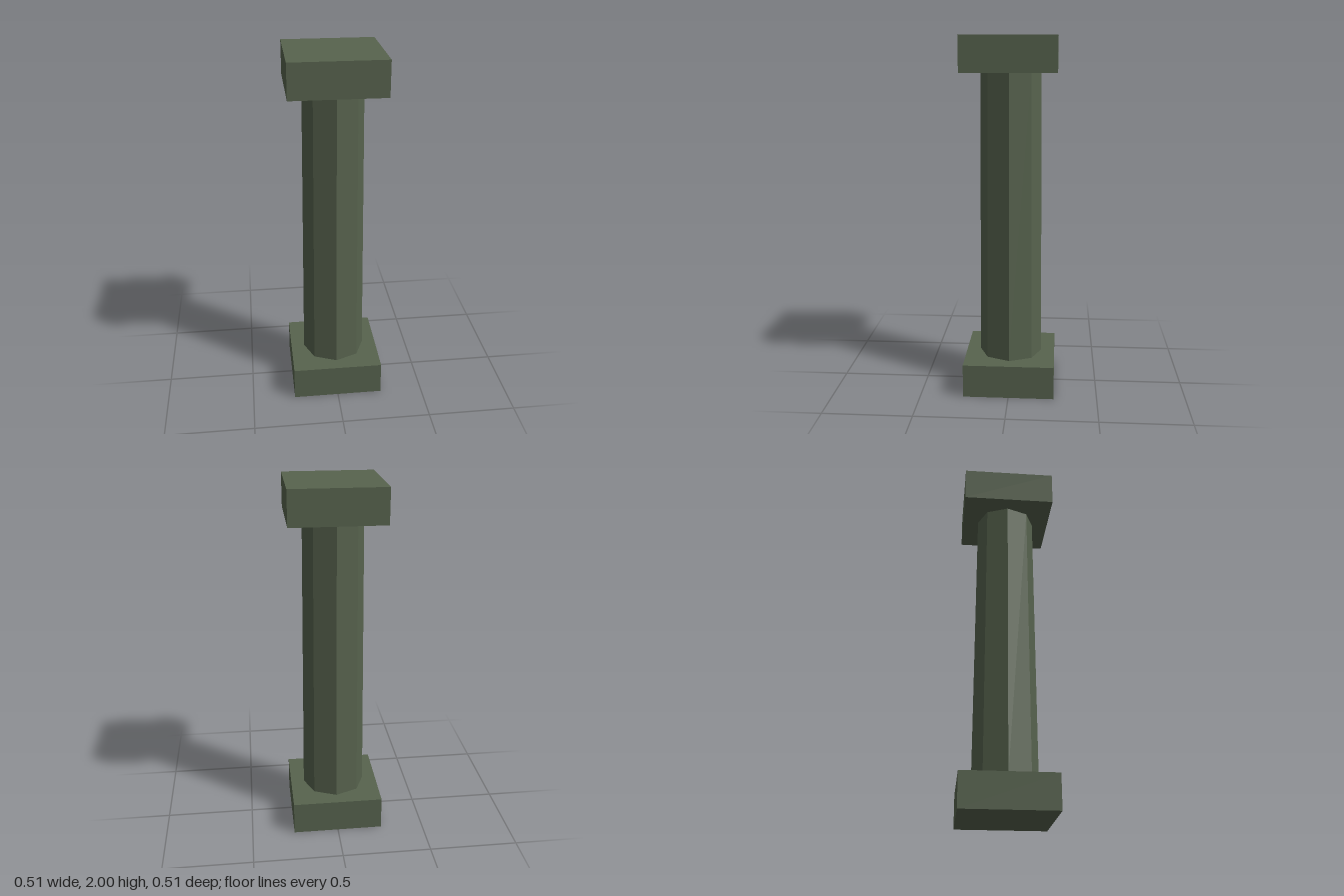
import * as THREE from 'three';

export function createModel() {
  const group = new THREE.Group();
  group.name = 'column';
  const stone = new THREE.MeshStandardMaterial({ color: 0x57634e, flatShading: true });
  stone.name = 'mossy stone';

  const slabSize = 0.512;
  const slabHeight = 0.19;
  const add = (name, geometry, y) => {
    const mesh = new THREE.Mesh(geometry, stone);
    mesh.name = name;
    mesh.position.y = y;
    group.add(mesh);
  };

  // Square slabs at both ends
  const slab = new THREE.BoxGeometry(slabSize, slabHeight, slabSize);
  add('base', slab, slabHeight / 2);
  add('capital', slab, 2 - slabHeight / 2);

  // Tapered eight-sided shaft, a corner on each axis
  add('shaft', new THREE.CylinderGeometry(0.166, 0.179, 2 - 2 * slabHeight, 8), 1);

  return group;
}
